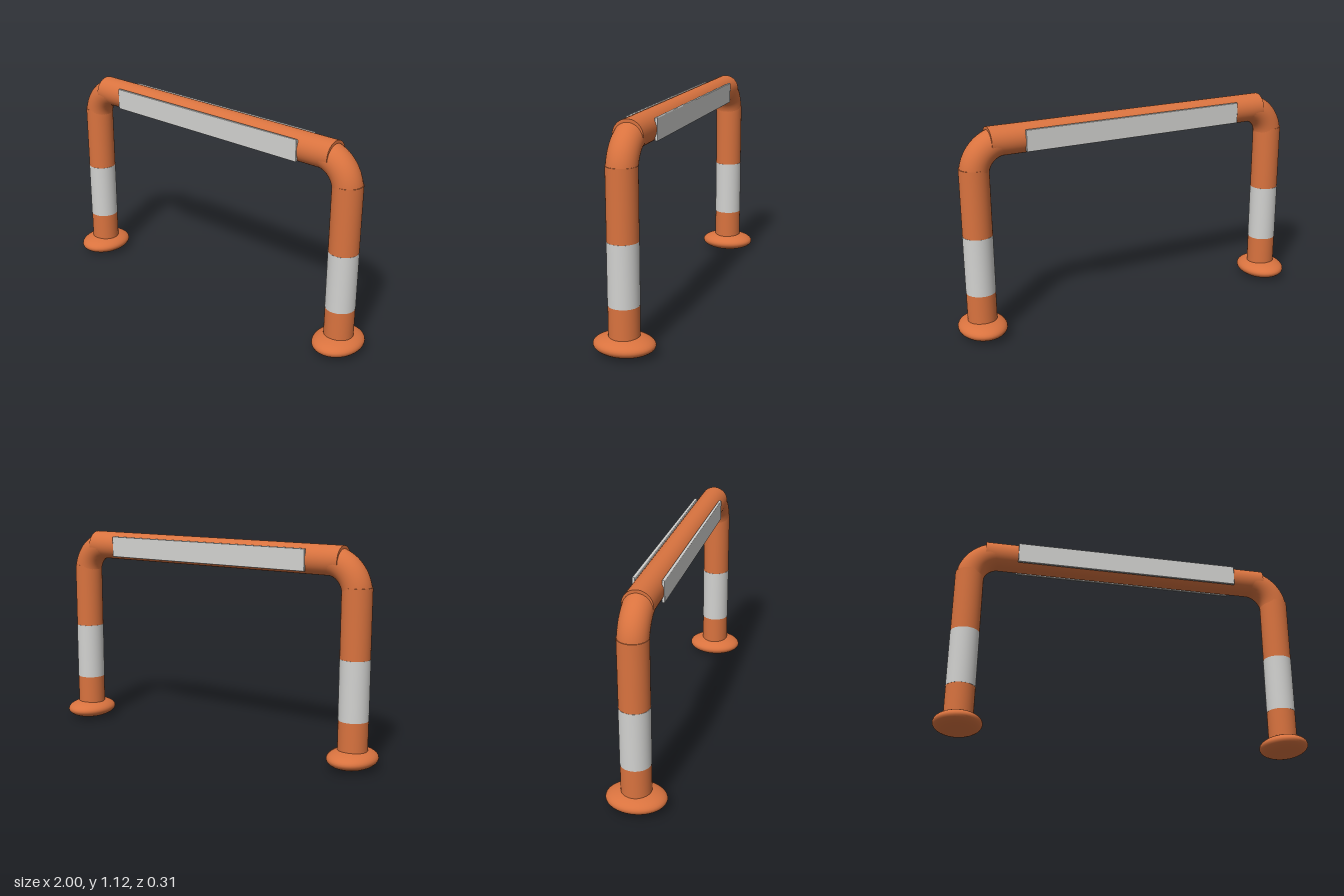
import * as THREE from 'three';
import { RoundedBoxGeometry } from 'three/addons/geometries/RoundedBoxGeometry.js';

const LEG_X = 0.872, TUBE_R = 0.077, BAR_Y = 1.043, BEND_R = 0.16;

export function createModel() {
  const group = new THREE.Group();
  group.name = 'hoopBarrier';
  const orange = new THREE.MeshStandardMaterial({ color: 0xd9733f });
  orange.name = 'orange paint';
  const white = new THREE.MeshStandardMaterial({ color: 0xd2d2d0 });
  white.name = 'reflective white';

  const add = (name, geometry, material, x, y, z) => {
    const mesh = new THREE.Mesh(geometry, material);
    mesh.name = name;
    mesh.position.set(x, y, z);
    group.add(mesh);
    return mesh;
  };

  // Upright tube section between two heights
  const section = (name, x, y0, y1, radius, material) =>
    add(name, new THREE.CylinderGeometry(radius, radius, y1 - y0, 40), material, x, (y0 + y1) / 2, 0);

  for (const [side, s] of [['left', 1], ['right', -1]]) {
    const x = s * LEG_X;

    // Flattened oval foot
    const foot = new THREE.SphereGeometry(1, 40, 20).scale(0.127, 0.052, 0.155);
    add(side + 'Foot', foot, orange, s * 0.873, 0.052, 0);

    // Leg with a white band
    section(side + 'LegBottom', x, 0.05, 0.25, TUBE_R, orange);
    section(side + 'LegBand', x, 0.25, 0.563, TUBE_R + 0.001, white);
    section(side + 'LegTop', x, 0.563, 0.92, TUBE_R, orange);

    // Quarter bend joining leg and top bar
    const bend = new THREE.TorusGeometry(BEND_R, TUBE_R - 0.001, 32, 24, Math.PI / 2);
    const elbow = add(side + 'Elbow', bend, orange, s * (LEG_X - BEND_R), BAR_Y - BEND_R, 0);
    if (s < 0) elbow.rotation.y = Math.PI;
  }

  // Top bar
  const bar = new THREE.CylinderGeometry(TUBE_R, TUBE_R, 1.59, 40).rotateZ(Math.PI / 2);
  add('topBar', bar, orange, 0, BAR_Y, 0);

  // Reflective panels on the front and back of the bar
  for (const [name, s] of [['frontPanel', 1], ['backPanel', -1]]) {
    add(name, new RoundedBoxGeometry(1.236, 0.114, 0.015, 2, 0.004), white, 0, BAR_Y, s * 0.0725);
  }

  return group;
}
